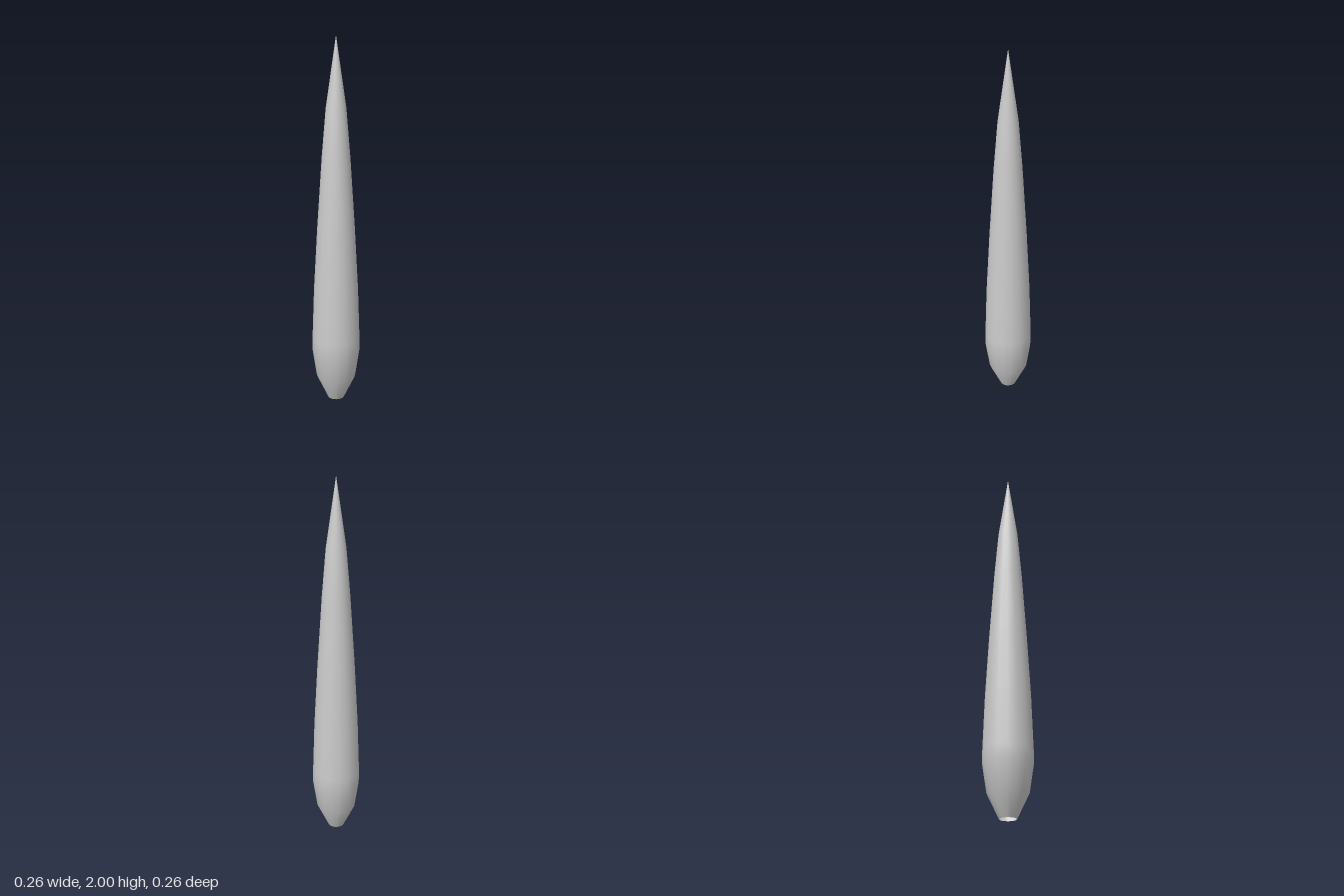
import * as THREE from 'three';

export function createModel() {
  const group = new THREE.Group();
  const sides = 16;

  // Slender spindle: narrow open base, low bulge, long taper to a point
  const profile = [
    [0.045, 0], [0.108, 0.13], [0.131, 0.28], [0.131, 0.35], [0.121, 0.64],
    [0.102, 0.98], [0.076, 1.37], [0.054, 1.63], [0, 2],
  ].map(([r, y]) => new THREE.Vector2(r, y));

  const body = new THREE.Mesh(
    new THREE.LatheGeometry(profile, sides, Math.PI / sides),
    new THREE.MeshStandardMaterial({ color: 0xcccccc, side: THREE.DoubleSide })
  );
  body.name = 'spindleBody';
  group.add(body);
  return group;
}
